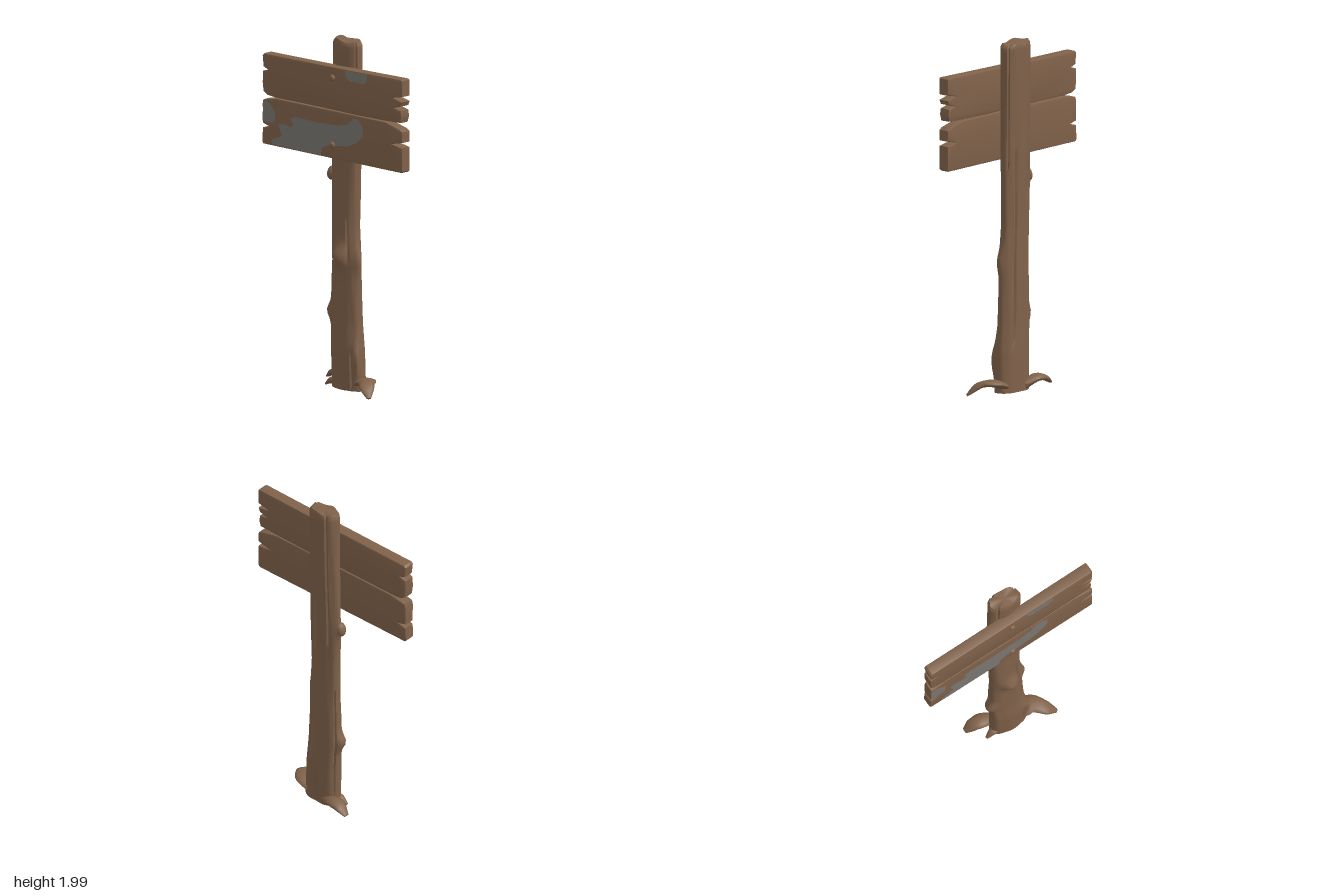
import * as THREE from 'three';
import { toCreasedNormals } from 'three/addons/utils/BufferGeometryUtils.js';

const wood = new THREE.MeshStandardMaterial({ color: 0x80624a });
wood.name = 'weathered wood';
const paint = new THREE.MeshStandardMaterial({ color: 0x7b7772 });
paint.name = 'faded grey paint';

function addMesh(parent, name, geometry, material = wood) {
  const mesh = new THREE.Mesh(geometry, material);
  mesh.name = name;
  parent.add(mesh);
  return mesh;
}

// Skin a list of equal-sized rings and close both ends with fans
function loft(rings, crease = 0.6) {
  const n = rings[0].length, last = rings.length - 1;
  const points = rings.flat();
  const index = [];
  for (let i = 0; i < last; i++) {
    for (let j = 0; j < n; j++) {
      const a = i * n + j, b = i * n + (j + 1) % n;
      index.push(a, a + n, b, b, a + n, b + n);
    }
  }
  for (const i of [0, last]) {
    const centre = new THREE.Vector3();
    rings[i].forEach((p) => centre.addScaledVector(p, 1 / n));
    const c = points.push(centre) - 1;
    for (let j = 0; j < n; j++) {
      const a = i * n + j, b = i * n + (j + 1) % n;
      if (i === 0) index.push(c, a, b);
      else index.push(c, b, a);
    }
  }
  const geometry = new THREE.BufferGeometry().setFromPoints(points);
  geometry.setIndex(index);
  return toCreasedNormals(geometry, crease);
}

// Post outline: height, right x, left x, front z, back z
const postProfile = [
  [0.025, -0.08, 0.15, 0.05, -0.07],
  [0.25, -0.08, 0.145, 0.058, -0.07],
  [0.4, -0.085, 0.13, 0.045, -0.065],
  [0.6, -0.085, 0.122, 0.045, -0.062],
  [0.75, -0.078, 0.118, 0.045, -0.06],
  [0.95, -0.083, 0.105, 0.04, -0.058],
  [1.2, -0.092, 0.11, 0.033, -0.06],
  [1.6, -0.088, 0.113, 0.033, -0.07],
  [1.98, -0.084, 0.114, 0.036, -0.074],
];

// Swellings: height, angle, size, height spread, angle spread
const bumps = [
  [1.22, 3.1, 0.02, 0.035, 0.3],
  [0.45, 2.95, 0.034, 0.05, 0.5],
  [0.78, 1.6, 0.042, 0.06, 0.4],
  [0.76, 0.2, 0.018, 0.07, 0.4],
  [0.2, 0.6, 0.02, 0.09, 0.25],
];

// Lengthwise cracks: angle, lower end, upper end
const cracks = [
  [0.9, 0.05, 0.25], [1.05, 0.75, 1.0], [2.2, 1.7, 2], [5.1, 0.3, 1.4],
  [4.2, 1.1, 2], [3.5, 0.1, 0.8], [5.8, 1.3, 2], [0.4, 1.75, 2],
];

function postRing(y, shrink = 1, lift = 0) {
  let k = 0;
  while (k < postProfile.length - 2 && y > postProfile[k + 1][0]) k++;
  const lo = postProfile[k], hi = postProfile[k + 1];
  const t = (y - lo[0]) / (hi[0] - lo[0]);
  const [, left, right, front, back] = lo.map((v, i) => v + (hi[i] - v) * t);
  const ring = [], n = 48;
  const soft = (v) => Math.sign(v) * Math.abs(v) ** 0.85;
  for (let j = 0; j < n; j++) {
    const a = (j / n) * Math.PI * 2, c = Math.cos(a), s = Math.sin(a);
    let push = 0.0015 * Math.sin(5 * a + 3 * y) + 0.001 * Math.sin(9 * a - 7 * y);
    for (const [by, ba, size, sy, sa] of bumps) {
      const d = Math.atan2(Math.sin(a - ba), Math.cos(a - ba));
      push += size * Math.exp(-(((y - by) / sy) ** 2) - (d / sa) ** 2);
    }
    for (const [ca, y0, y1] of cracks) {
      if (y >= y0 && y <= y1 && Math.abs(a - ca) < 0.066) push -= 0.008;
    }
    const x = (left + right) / 2 + (soft(c) * (right - left) / 2) * shrink + c * push;
    const z = (front + back) / 2 + (soft(s) * (front - back) / 2) * shrink + s * push;
    ring.push(new THREE.Vector3(x, y + lift * (1 - 5 * x + 0.4 * Math.sin(4 * a)), z));
  }
  return ring;
}

function makePost() {
  const rings = [];
  for (let i = 0; i <= 76; i++) rings.push(postRing(0.025 + (1.94 * i) / 76));
  rings.push(postRing(1.972, 0.97, 0.008), postRing(1.98, 0.87, 0.014));
  return loft(rings);
}

// Flattened root following a curve; widths and thicknesses are sampled evenly
function makeRoot(path, widths, heights) {
  const curve = new THREE.CatmullRomCurve3(path.map((p) => new THREE.Vector3(...p)));
  const sample = (list, t) => {
    const f = t * (list.length - 1), i = Math.min(Math.floor(f), list.length - 2);
    return list[i] + (list[i + 1] - list[i]) * (f - i);
  };
  const rings = [];
  for (let i = 0; i <= 14; i++) {
    const t = i / 14;
    const centre = curve.getPoint(t), along = curve.getTangent(t);
    const side = along.clone().cross(new THREE.Vector3(0, 1, 0)).normalize();
    const up = side.clone().cross(along);
    const ring = [];
    for (let j = 0; j < 14; j++) {
      const a = (j / 14) * Math.PI * 2;
      const w = sample(widths, t) * (1 + 0.08 * Math.sin(7 * t + 2 * a));
      ring.push(centre.clone()
        .addScaledVector(side, Math.cos(a) * w)
        .addScaledVector(up, Math.sin(a) * sample(heights, t)));
    }
    rings.push(ring);
  }
  return loft(rings, 0.9);
}

const toShape = (points) => new THREE.Shape(points.map(([x, y]) => new THREE.Vector2(x, y)));

const plankDepth = 0.066, bevel = 0.007;
function makePlank(points) {
  const geometry = new THREE.ExtrudeGeometry(toShape(points), {
    depth: plankDepth - 2 * bevel, bevelThickness: bevel,
    bevelSize: bevel, bevelOffset: -bevel, bevelSegments: 2,
  });
  geometry.translate(0, 0, bevel - plankDepth / 2);
  return toCreasedNormals(geometry, 0.5);
}

// Plank outlines with split, chipped ends
const upperPlank = [
  [-0.535, 1.63], [-0.5, 1.612], [-0.44, 1.608], [-0.1, 1.609], [0.2, 1.607], [0.4, 1.61], [0.525, 1.615],
  [0.535, 1.65], [0.53, 1.685], [0.48, 1.695], [0.53, 1.71], [0.54, 1.735], [0.47, 1.75],
  [0.54, 1.765], [0.54, 1.855], [0.53, 1.861], [0.1, 1.853], [-0.3, 1.848], [-0.53, 1.846],
  [-0.542, 1.835], [-0.535, 1.77], [-0.5, 1.758], [-0.54, 1.745], [-0.542, 1.68],
];
const lowerPlank = [
  [-0.535, 1.333], [0.53, 1.333], [0.54, 1.342], [0.54, 1.475], [0.46, 1.487], [0.54, 1.505],
  [0.54, 1.565], [0.52, 1.578], [0.41, 1.604], [0, 1.605], [-0.42, 1.604], [-0.47, 1.598],
  [-0.535, 1.585], [-0.542, 1.56], [-0.54, 1.45], [-0.49, 1.438], [-0.54, 1.425], [-0.545, 1.345],
];

// Remnants of old paint on the front
const paintPatches = [
  [[0.105, 1.81], [0.14, 1.79], [0.18, 1.795], [0.24, 1.79], [0.27, 1.81], [0.27, 1.85], [0.1, 1.847]],
  [[-0.537, 1.465], [-0.48, 1.46], [-0.445, 1.47], [-0.44, 1.525], [-0.49, 1.575], [-0.535, 1.58]],
  [[-0.46, 1.342], [-0.085, 1.34], [-0.08, 1.38], [-0.03, 1.405], [0.03, 1.41], [0.12, 1.42],
    [0.19, 1.45], [0.235, 1.49], [0.24, 1.545], [0.205, 1.585], [0.165, 1.585], [0.125, 1.545],
    [0.03, 1.525], [-0.12, 1.52], [-0.28, 1.525], [-0.32, 1.51], [-0.3, 1.47], [-0.33, 1.46],
    [-0.36, 1.47], [-0.415, 1.465], [-0.39, 1.4], [-0.47, 1.365]],
];

export function createModel() {
  const model = new THREE.Group();
  model.name = 'woodenSign';

  addMesh(model, 'post', makePost());

  // Broken twig stub below the board
  const stub = addMesh(model, 'branchStub', new THREE.SphereGeometry(1, 12, 8));
  stub.scale.set(0.026, 0.042, 0.03);
  stub.position.set(-0.097, 1.225, -0.005);
  stub.rotation.z = -0.25;

  // Roots at the foot
  addMesh(model, 'leftRoot', makeRoot(
    [[0.08, 0.05, -0.015], [0.18, 0.085, -0.005], [0.235, 0.075, 0.045], [0.295, 0.022, 0.085]],
    [0.04, 0.055, 0.048, 0.045, 0.012], [0.025, 0.022, 0.018, 0.015, 0.006]));
  addMesh(model, 'rightRoot', makeRoot(
    [[-0.02, 0.05, -0.05], [-0.1, 0.085, -0.065], [-0.15, 0.08, -0.072], [-0.205, 0.045, -0.075]],
    [0.025, 0.04, 0.045, 0.04, 0.015], [0.025, 0.022, 0.02, 0.016, 0.006]));
  addMesh(model, 'frontRightRoot', makeRoot(
    [[-0.03, 0.06, 0.0], [-0.08, 0.055, 0.012], [-0.12, 0.03, 0.02]],
    [0.03, 0.025, 0.008], [0.025, 0.02, 0.006]));

  // Board, turned slightly on the post
  const board = new THREE.Group();
  board.name = 'board';
  board.position.z = 0.054;
  board.rotation.y = 0.041;
  model.add(board);
  addMesh(board, 'upperPlank', makePlank(upperPlank));
  addMesh(board, 'lowerPlank', makePlank(lowerPlank));
  for (const points of paintPatches) {
    const patch = addMesh(board, 'paintPatch', new THREE.ShapeGeometry(toShape(points)), paint);
    patch.position.z = plankDepth / 2 + 0.0015;
  }
  for (const y of [1.79, 1.41]) {
    const peg = addMesh(board, 'peg', new THREE.SphereGeometry(0.02, 16, 10));
    peg.scale.z = 0.7;
    peg.position.set(0.002, y, plankDepth / 2 + 0.001);
  }
  return model;
}
